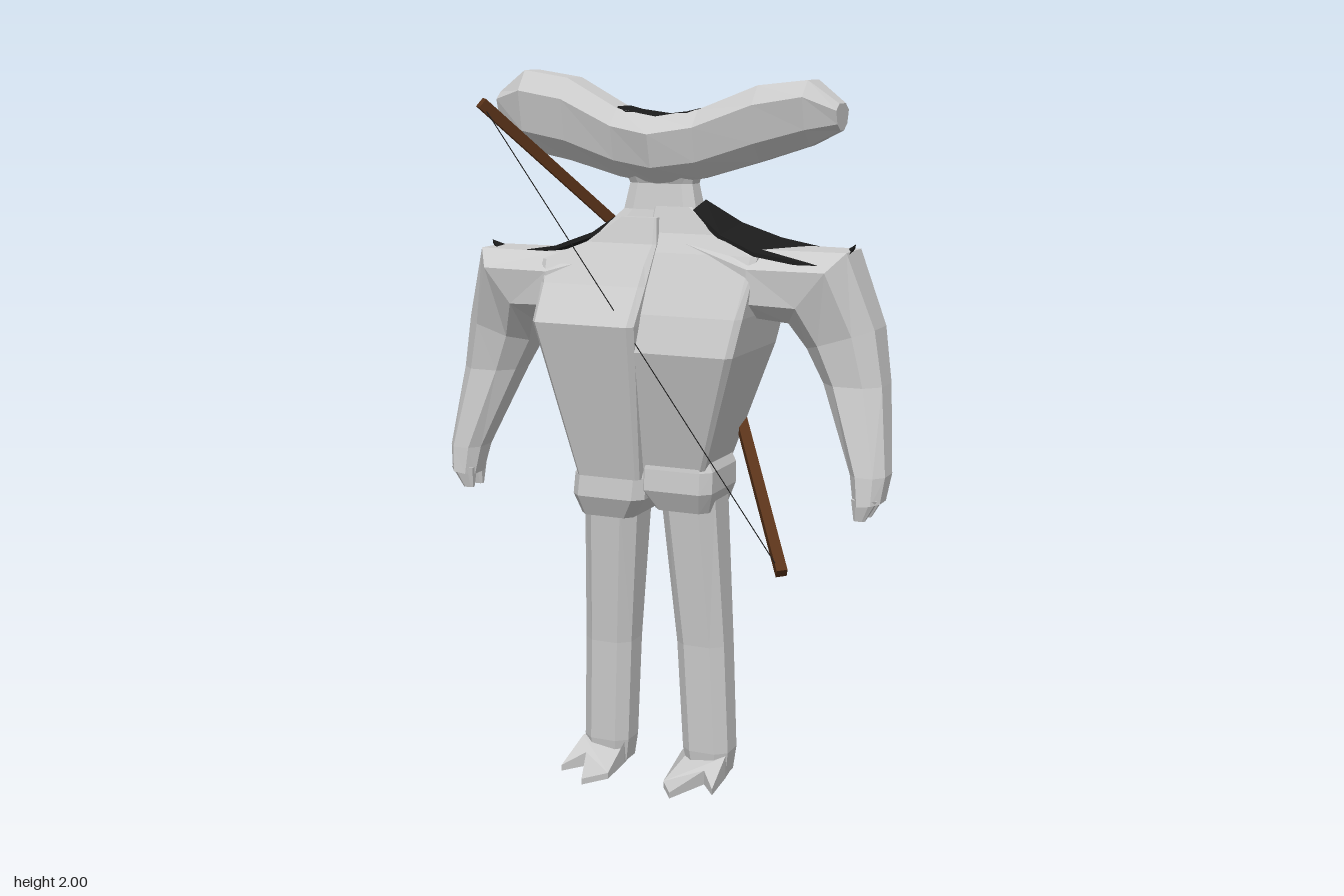
import * as THREE from 'three';

const grey = new THREE.MeshStandardMaterial({ color: 0xcccccc, flatShading: true });
const dark = new THREE.MeshStandardMaterial({ color: 0x1c1c1c, flatShading: true });
const wood = new THREE.MeshStandardMaterial({ color: 0x5a3319, flatShading: true });

// Eight-sided loft. Each ring is [px, py, qx, qy, z0, z1]: a section spanning
// p to q in the xy plane and z0 to z1 in depth, with an optional depth shift
// for the right half; c sets how square it is, taper narrows the p side and
// tilt raises the front edge.
function loft(name, rings, { c = 0.6, s = 1, lean = 0, dz = 0, taper = 0, tilt = 0, mat = grey } = {}) {
  const oct = [[1, -c], [1, c], [c, 1], [-c, 1], [-1, c], [-1, -c], [-c, -1], [c, -1]];
  const pos = [], idx = [];
  for (const [px, py, qx, qy, z0, z1, shift = dz] of rings) {
    for (const [u, v] of oct) {
      const w = v * (1 - taper * Math.max(0, -u));
      let x = (px + qx) / 2 + u * (qx - px) / 2;
      let y = (py + qy) / 2 + u * (qy - py) / 2 + tilt * v;
      let z = (z0 + z1) / 2 + w * (z1 - z0) / 2;
      if (s < 0) {
        // the right half hangs a little lower and leans outward below
        x = -x - lean * Math.min(1, Math.max(0, (1.6 - y) / 0.8));
        y -= 0.03 * Math.min(1, y / 0.6);
        z += shift;
      }
      pos.push(x, y, z);
    }
  }
  const tri = (a, b, d) => (s > 0 ? idx.push(a, b, d) : idx.push(a, d, b));
  const last = (rings.length - 1) * 8;
  for (let i = 0; i < last; i += 8) {
    for (let j = 0; j < 8; j++) {
      const k = (j + 1) % 8;
      tri(i + j, i + 8 + j, i + k);
      tri(i + k, i + 8 + j, i + 8 + k);
    }
  }
  for (let j = 1; j < 7; j++) {
    tri(0, j, j + 1);
    tri(last, last + j + 1, last + j);
  }
  let g = new THREE.BufferGeometry();
  g.setAttribute('position', new THREE.Float32BufferAttribute(pos, 3));
  g.setIndex(idx);
  g = g.toNonIndexed();
  g.computeVertexNormals();
  const m = new THREE.Mesh(g, mat);
  m.name = name;
  return m;
}

// level section at height y
const level = (y, x0, x1, z0, z1) => [x0, y, x1, y, z0, z1];
// upright section at x
const upright = (x, y0, y1, z0, z1) => [x, y0, x, y1, z0, z1];

// straight four-sided rod between two points
function rod(name, a, b, r, mat) {
  const d = b.clone().sub(a);
  const m = new THREE.Mesh(new THREE.CylinderGeometry(r, r, d.length(), 4), mat);
  m.position.copy(a).addScaledVector(d, 0.5);
  m.quaternion.setFromUnitVectors(new THREE.Vector3(0, 1, 0), d.normalize());
  m.name = name;
  return m;
}

// wedge foot with pointed toes, sloping down to the front
function foot() {
  const outline = [[0.07, -0.025], [0.175, -0.025], [0.19, 0.07], [0.2, 0.19],
    [0.15, 0.13], [0.1, 0.26], [0.05, 0.19], [0.055, 0.07]];
  const shape = new THREE.Shape(outline.map(([x, z]) => new THREE.Vector2(x, z)));
  const g = new THREE.ExtrudeGeometry(shape, { depth: 0.07, bevelEnabled: false });
  g.rotateX(Math.PI / 2).translate(0, 0.075, 0);
  const p = g.attributes.position;
  for (let i = 0; i < p.count; i++) {
    const t = Math.min(1, Math.max(0, (p.getZ(i) - 0.06) / 0.13));
    p.setY(i, p.getY(i) * (1 - 0.75 * t));
  }
  g.computeVertexNormals();
  const m = new THREE.Mesh(g, grey);
  m.name = 'foot';
  return m;
}

function bodyHalf(s) {
  const half = new THREE.Group();
  half.name = s > 0 ? 'leftHalf' : 'rightHalf';
  const body = { s, lean: 0.06, dz: 0.03 };
  // the fullest point of the chest sits higher on the right half
  const chest = s > 0 ? 1.26 : 1.36;

  half.add(loft('torso', [
    level(0.92, -0.03, 0.16, -0.04, 0.17),
    level(chest, -0.025, 0.28, -0.08, 0.27),
    level(chest + 0.1, -0.02, 0.295, -0.112, s > 0 ? 0.24 : 0.2),
    level(1.52, -0.02, 0.31, -0.05, 0.165),
    level(1.57, -0.02, 0.19, -0.01, 0.135),
    level(1.64, -0.01, 0.1, 0.03, 0.115),
  ], { ...body, c: 0.9 }));

  half.add(loft('hipBand', [
    level(0.8, 0, 0.16, -0.03, 0.15),
    level(0.86, -0.04, 0.18, -0.05, 0.18),
    level(0.92, -0.04, 0.18, -0.05, 0.175),
    level(0.95, -0.03, 0.165, -0.05, 0.17),
  ], { ...body, c: 0.75, dz: 0.02 }));

  half.add(loft('leg', [
    level(0.01, 0.065, 0.185, -0.025, 0.08),
    level(0.08, 0.055, 0.195, -0.03, 0.09),
    level(0.4, 0.04, 0.185, -0.03, 0.1),
    level(0.84, 0.005, 0.17, -0.03, 0.145),
  ], { ...body, c: 0.55, dz: 0.01 }));

  const f = foot();
  if (s < 0) {
    f.scale.x = -1;
    f.position.set(-0.07, 0, 0.01);
  }
  half.add(f);

  half.add(loft('arm', [
    [0.585, 0.87, 0.66, 0.88, 0.07, 0.175, -0.03],
    [0.57, 0.95, 0.668, 0.95, 0.04, 0.165, -0.025],
    [0.47, 1.18, 0.635, 1.18, -0.05, 0.115, 0],
    [0.42, 1.27, 0.61, 1.33, -0.08, 0.12, 0.01],
    [0.38, 1.34, 0.54, 1.535, -0.075, 0.165, 0.025],
    [0.29, 1.35, 0.29, 1.535, -0.105, 0.19, 0.03],
    [0.1, 1.38, 0.1, 1.6, -0.05, 0.15, 0.02],
  ], { s, c: 0.5 }));

  // dark cover along the top of the shoulder
  half.add(loft('shoulderCover', [
    [0.54, 1.53, 0.542, 1.542, 0.035, 0.085],
    [0.485, 1.5, 0.485, 1.512, -0.035, 0.145],
    [0.3, 1.53, 0.3, 1.542, -0.05, 0.16],
    [0.19, 1.57, 0.195, 1.582, -0.02, 0.14],
    [0.1, 1.635, 0.108, 1.645, 0.03, 0.115],
  ], { s, c: 0.92, dz: -0.02, tilt: -0.01 * s, mat: dark }));

  // two pointed fingers
  for (const z of [0.095, 0.15]) {
    half.add(loft('finger', [
      level(0.83, 0.59, 0.62, z - 0.008, z + 0.008),
      level(0.89, 0.585, 0.655, z - 0.022, z + 0.022),
    ], { s, dz: -0.03 }));
  }
  return half;
}

export function createModel() {
  const model = new THREE.Group();
  model.name = 'archer';
  model.add(bodyHalf(1), bodyHalf(-1));

  model.add(loft('neck', [
    level(1.56, -0.18, 0.18, 0.0, 0.135),
    level(1.63, -0.105, 0.11, 0.03, 0.115),
    level(1.7, -0.09, 0.095, 0.035, 0.105),
    level(1.76, -0.11, 0.11, 0.02, 0.13),
  ], { c: 0.7 }));

  // wide hat, swept up at both ends and narrow underneath
  model.add(loft('hat', [
    upright(0.51, 1.85, 1.92, 0.02, 0.12),
    upright(0.43, 1.81, 1.98, -0.01, 0.16),
    upright(0.29, 1.765, 1.965, -0.018, 0.16),
    upright(0.12, 1.715, 1.9, -0.018, 0.16),
    upright(0, 1.7, 1.88, -0.015, 0.185),
    upright(-0.12, 1.715, 1.9, -0.018, 0.16),
    upright(-0.27, 1.755, 1.98, -0.018, 0.16),
    upright(-0.4, 1.78, 2, -0.01, 0.16),
    upright(-0.49, 1.86, 1.94, 0.02, 0.12),
  ], { c: 0.5, taper: 0.45 }));

  model.add(loft('hatCrown', [
    upright(0.13, 1.89, 1.905, 0.025, 0.11),
    upright(0.09, 1.875, 1.895, 0.005, 0.125),
    upright(0, 1.865, 1.884, 0.005, 0.125),
    upright(-0.09, 1.875, 1.895, 0.005, 0.125),
    upright(-0.12, 1.89, 1.905, 0.025, 0.11),
  ], { c: 0.9, mat: dark }));

  // bow slung across the back
  const bow = new THREE.Group();
  bow.name = 'bow';
  const top = new THREE.Vector3(-0.45, 1.915, 0.275);
  const grip = new THREE.Vector3(-0.005, 1.3, -0.285);
  const tip = new THREE.Vector3(0.43, 0.695, 0.265);
  bow.add(rod('upperLimb', grip, top, 0.021, wood));
  bow.add(rod('lowerLimb', grip, tip, 0.021, wood));
  bow.add(rod('bowString', top, tip, 0.0015, dark));
  model.add(bow);
  return model;
}
